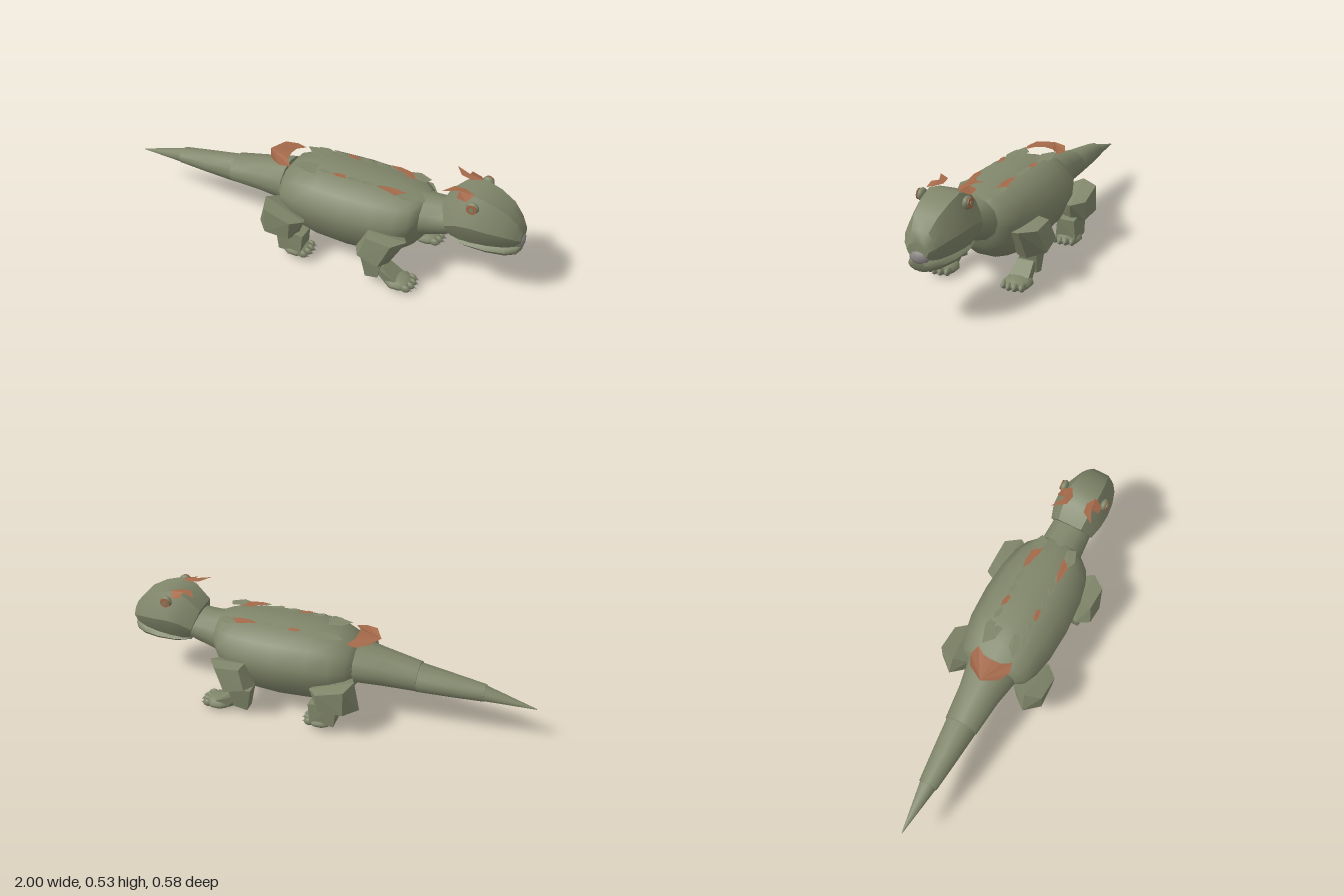
import * as THREE from 'three';
import { toCreasedNormals } from 'three/addons/utils/BufferGeometryUtils.js';
import { ConvexGeometry } from 'three/addons/geometries/ConvexGeometry.js';

const mat = (name, color, side = THREE.FrontSide) =>
  Object.assign(new THREE.MeshStandardMaterial({ color, side }), { name });

// Half cross-sections, top to bottom: [share of half width, share of height]
const BODY = [[0, 1], [0.45, 0.98], [0.76, 0.87], [1, 0.66], [0.97, 0.48], [0.8, 0.24], [0.58, 0.1], [0.24, 0], [0, 0]];
const ROUND = [[0, 1], [0.5, 0.93], [0.87, 0.75], [1, 0.5], [0.87, 0.25], [0.5, 0.07], [0, 0]];
const HEAD = [[0, 1], [0.54, 0.99], [0.8, 0.74], [1, 0.48], [0.9, 0.28], [0.62, 0], [0, 0]];

// Skin sections [x, bottom, top, half width, slant], ordered by rising x
function loft(sections, half, crease = 0.75) {
  const ring = [...half, ...half.slice(1, -1).reverse().map(([w, h]) => [-w, h])];
  const n = ring.length, pos = [], idx = [];
  for (const [x, b, t, w, slant = 0] of sections)
    for (const [u, v] of ring) pos.push(x + slant * (v - 0.5), b + (t - b) * v, u * w);
  for (let i = 0; i < sections.length - 1; i++)
    for (let j = 0; j < n; j++) {
      const a = i * n + j, b = i * n + (j + 1) % n;
      idx.push(a, b, a + n, b, b + n, a + n);
    }
  const last = (sections.length - 1) * n;
  for (let j = 1; j < n - 1; j++) idx.push(0, j + 1, j, last, last + j, last + j + 1);
  const g = new THREE.BufferGeometry();
  g.setAttribute('position', new THREE.Float32BufferAttribute(pos, 3));
  g.setIndex(idx);
  return toCreasedNormals(g, crease);
}

// Thin plate fanned out from its first corner
function plate(points) {
  const pos = [];
  for (let i = 1; i < points.length - 1; i++) pos.push(...points[0], ...points[i], ...points[i + 1]);
  const g = new THREE.BufferGeometry();
  g.setAttribute('position', new THREE.Float32BufferAttribute(pos, 3));
  g.computeVertexNormals();
  return g;
}

export function createModel() {
  const skin = mat('olive skin', 0x80866a);
  const scale = mat('olive scale', 0x80866a, THREE.DoubleSide);
  const orange = mat('rust orange', 0xa4694a, THREE.DoubleSide);
  const claw = mat('claw grey', 0x8c8886);
  const model = new THREE.Group();
  model.name = 'lizard';
  const add = (name, geometry, material) => {
    const m = new THREE.Mesh(geometry, material);
    m.name = name;
    model.add(m);
    return m;
  };
  const blob = (name, material, x, y, z, rx, ry, rz, ws = 10, hs = 7) => {
    const m = add(name, new THREE.SphereGeometry(1, ws, hs), material);
    m.position.set(x, y, z);
    m.scale.set(rx, ry, rz);
    return m;
  };

  // Trunk and neck
  add('body', loft([
    [-0.165, 0.19, 0.35, 0.11], [-0.13, 0.13, 0.395, 0.165], [-0.06, 0.09, 0.422, 0.195],
    [0.04, 0.07, 0.44, 0.215], [0.2, 0.062, 0.44, 0.222], [0.34, 0.068, 0.435, 0.212],
    [0.44, 0.1, 0.425, 0.19], [0.5, 0.145, 0.415, 0.16], [0.535, 0.19, 0.405, 0.12]], BODY, 1.2), skin);
  add('neck', loft([[0.48, 0.19, 0.415, 0.125], [0.56, 0.215, 0.408, 0.105],
    [0.64, 0.245, 0.41, 0.1], [0.7, 0.27, 0.41, 0.095]], ROUND, 1.2), skin);

  // Tail in three tapering segments
  add('tailBase', loft([[-0.45, 0.19, 0.328, 0.082], [-0.28, 0.187, 0.363, 0.1], [-0.155, 0.185, 0.387, 0.125]], ROUND, 1.1), skin);
  add('tailMiddle', loft([[-0.76, 0.197, 0.276, 0.046], [-0.6, 0.19, 0.3, 0.063], [-0.445, 0.186, 0.322, 0.078]], ROUND, 1.1), skin);
  add('tailTip', loft([[-1, 0.199, 0.203, 0.002], [-0.755, 0.199, 0.272, 0.042]], ROUND, 1.1), skin);

  // Head, jaw and nose
  add('head', loft([
    [0.655, 0.27, 0.435, 0.11, -0.06], [0.71, 0.268, 0.505, 0.128, -0.025], [0.775, 0.27, 0.523, 0.132],
    [0.85, 0.275, 0.5, 0.122], [0.92, 0.285, 0.462, 0.1], [0.965, 0.295, 0.412, 0.074],
    [0.988, 0.305, 0.37, 0.05]], HEAD, 0.6), skin);
  add('jaw', loft([[0.68, 0.26, 0.292, 0.08], [0.75, 0.243, 0.298, 0.1], [0.85, 0.234, 0.3, 0.096],
    [0.93, 0.232, 0.302, 0.078], [0.975, 0.242, 0.302, 0.055], [0.99, 0.262, 0.298, 0.035]], ROUND, 1), skin);
  blob('nose', claw, 0.975, 0.307, 0, 0.025, 0.033, 0.045);

  // Chevron over the tail root
  for (const s of [-1, 1])
    add('tailRootPlate', plate([[-0.26, 0.426, 0], [-0.22, 0.43, s * 0.075], [-0.165, 0.42, s * 0.1],
      [-0.115, 0.418, s * 0.088], [-0.145, 0.428, s * 0.045], [-0.15, 0.432, 0]]), orange);

  for (const s of [-1, 1]) {
    // Eyes and brow plates
    blob('eyeball', skin, 0.775, 0.485, s * 0.106, 0.03, 0.028, 0.018);
    const disc = (name, r, z, m) => {
      const d = add(name, new THREE.CylinderGeometry(r, r, 0.004, 12), m);
      d.rotation.x = Math.PI / 2;
      d.position.set(0.775, 0.485, s * z);
    };
    disc('iris', 0.024, 0.121, orange);
    disc('pupil', 0.01, 0.124, skin);
    add('browPlate', plate([[0.7, 0.529, s * 0.07], [0.63, 0.529, s * 0.105], [0.67, 0.53, s * 0.045],
      [0.72, 0.524, s * 0.037], [0.765, 0.522, s * 0.062], [0.745, 0.506, s * 0.105], [0.7, 0.518, s * 0.108]]), orange);

    // Rows of back scales: [x, z, length, width, material]
    const scales = [[-0.1, 0.06, 0.13, 0.06, scale], [-0.05, 0.085, 0.11, 0.04, scale], [-0.03, 0.04, 0.09, 0.035, scale],
      [0.32, 0.08, 0.12, 0.03, orange], [0.37, 0.075, 0.11, 0.04, orange], [0.42, 0.08, 0.1, 0.055, scale]];
    for (let i = 0; i < 5; i++) scales.push([0.03 + i * 0.07, 0.08, 0.07, 0.024, i === 1 ? orange : scale]);
    for (const [x, z, l, w, m] of scales) {
      const y = x > 0.35 || x < -0.02 ? 0.432 : 0.444;
      add('backScale', plate([[x, y + 0.003, s * (z + w * 0.3)], [x + l * 0.4, y, s * (z + w * 0.6)],
        [x + l, y - 0.006, s * (z + w * 0.2)], [x + l * 0.85, y - 0.002, s * (z - w * 0.5)],
        [x + l * 0.35, y, s * (z - w * 0.4)]]), m);
    }

    // Blocky upper legs
    const hull = (name, points) => add(name,
      new ConvexGeometry(points.map(([x, y, z]) => new THREE.Vector3(x, y, s * z))), skin);
    hull('frontUpperLeg', [[0.34, 0.29, 0.21], [0.35, 0.285, 0.265], [0.52, 0.272, 0.2], [0.47, 0.275, 0.268],
      [0.44, 0.125, 0.2], [0.42, 0.16, 0.288], [0.285, 0.185, 0.22], [0.32, 0.19, 0.285],
      [0.36, 0.26, 0.13], [0.48, 0.25, 0.13], [0.41, 0.12, 0.14], [0.34, 0.13, 0.15]]);
    hull('hindUpperLeg', [[-0.19, 0.29, 0.19], [-0.16, 0.275, 0.268], [0.02, 0.225, 0.215], [-0.03, 0.235, 0.27],
      [-0.02, 0.13, 0.2], [-0.04, 0.14, 0.265], [-0.22, 0.15, 0.2], [-0.16, 0.15, 0.27],
      [-0.16, 0.26, 0.12], [-0.02, 0.22, 0.13], [-0.04, 0.13, 0.14], [-0.17, 0.15, 0.14]]);

    // Lower legs
    hull('frontLowerLeg', [[0.31, 0.15, 0.16], [0.31, 0.15, 0.23], [0.42, 0.14, 0.15], [0.42, 0.14, 0.24],
      [0.335, 0.025, 0.16], [0.335, 0.025, 0.22], [0.4, 0.045, 0.15], [0.4, 0.045, 0.23]]);
    hull('frontAnkle', [[0.36, 0.115, 0.15], [0.36, 0.115, 0.225], [0.42, 0.105, 0.145], [0.42, 0.105, 0.225],
      [0.49, 0.055, 0.14], [0.49, 0.055, 0.235], [0.44, 0.02, 0.15], [0.44, 0.02, 0.225], [0.36, 0.035, 0.17]]);
    hull('hindLowerLeg', [[-0.12, 0.17, 0.15], [-0.12, 0.17, 0.235], [0.02, 0.15, 0.15], [0.02, 0.15, 0.235],
      [-0.105, 0.045, 0.14], [-0.105, 0.045, 0.235], [0.005, 0.05, 0.135], [0.01, 0.05, 0.24]]);

    // Feet with four clawed toes
    for (const [name, x, y] of [['front', 0.49, 0], ['hind', -0.03, 0.015]]) {
      blob(name + 'Foot', skin, x, y + 0.03, s * 0.185, 0.07, 0.03, 0.068);
      for (let i = 0; i < 4; i++) {
        const z = 0.142 + i * 0.029, reach = i % 3 ? 0.01 : 0;
        blob(name + 'Toe', skin, x + 0.048 + reach, y + 0.03, s * z, 0.025, 0.019, 0.014, 8, 6);
        const c = add(name + 'Claw', new THREE.ConeGeometry(0.009, 0.032, 6), claw);
        c.position.set(x + 0.069 + reach, y + 0.031, s * z);
        c.rotation.z = -2.1;
      }
    }
  }
  return model;
}
